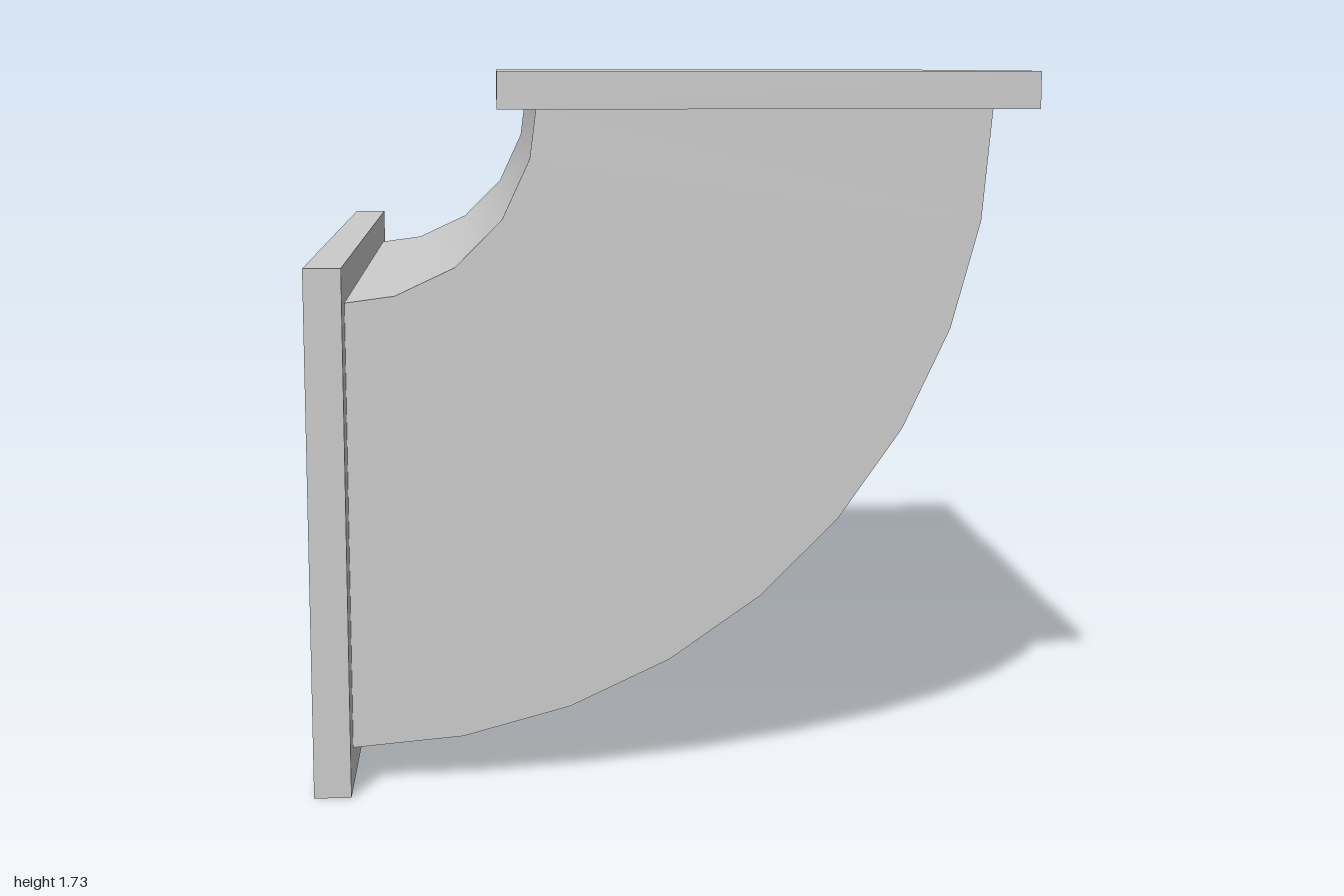
import * as THREE from 'three';
import { toCreasedNormals } from 'three/addons/utils/BufferGeometryUtils.js';

const material = new THREE.MeshStandardMaterial({ color: 0xcccccc });

// Bend centre, radii and depth of the duct
const CX = -0.775, CY = 1.64;
const OUTER = 1.546, INNER = 0.456;
const DEPTH = 1.81;

// Point on the bend; 0 degrees is straight down, 90 is towards +x
function bendPoint(radius, degrees) {
  const a = THREE.MathUtils.degToRad(degrees);
  return new THREE.Vector2(CX + radius * Math.sin(a), CY - radius * Math.cos(a));
}

// Box from its minimum and maximum corner in x and y, centred in z
function flange(name, x0, x1, y0, y1) {
  const mesh = new THREE.Mesh(new THREE.BoxGeometry(x1 - x0, y1 - y0, 2), material);
  mesh.position.set((x0 + x1) / 2, (y0 + y1) / 2, 0);
  mesh.name = name;
  return mesh;
}

export function createModel() {
  const group = new THREE.Group();
  group.name = 'ductElbow';

  // Quarter-ring body: outer curve in 10 degree steps, coarser inner curve
  const outline = [];
  for (let d = 0; d <= 90; d += 10) outline.push(bendPoint(OUTER, d));
  for (const d of [90, 75, 55, 35, 15, 0]) outline.push(bendPoint(INNER, d));
  const geometry = new THREE.ExtrudeGeometry(new THREE.Shape(outline), {
    depth: DEPTH, bevelEnabled: false, steps: 1,
  });
  geometry.translate(0, 0, -DEPTH / 2);
  const body = new THREE.Mesh(toCreasedNormals(geometry, Math.PI / 5), material);
  body.name = 'elbowBody';
  group.add(body);

  // End flanges
  group.add(flange('sideFlange', -0.864, -0.775, 0, 1.275));
  group.add(flange('topFlange', -0.411, 0.862, 1.64, 1.728));

  return group;
}
